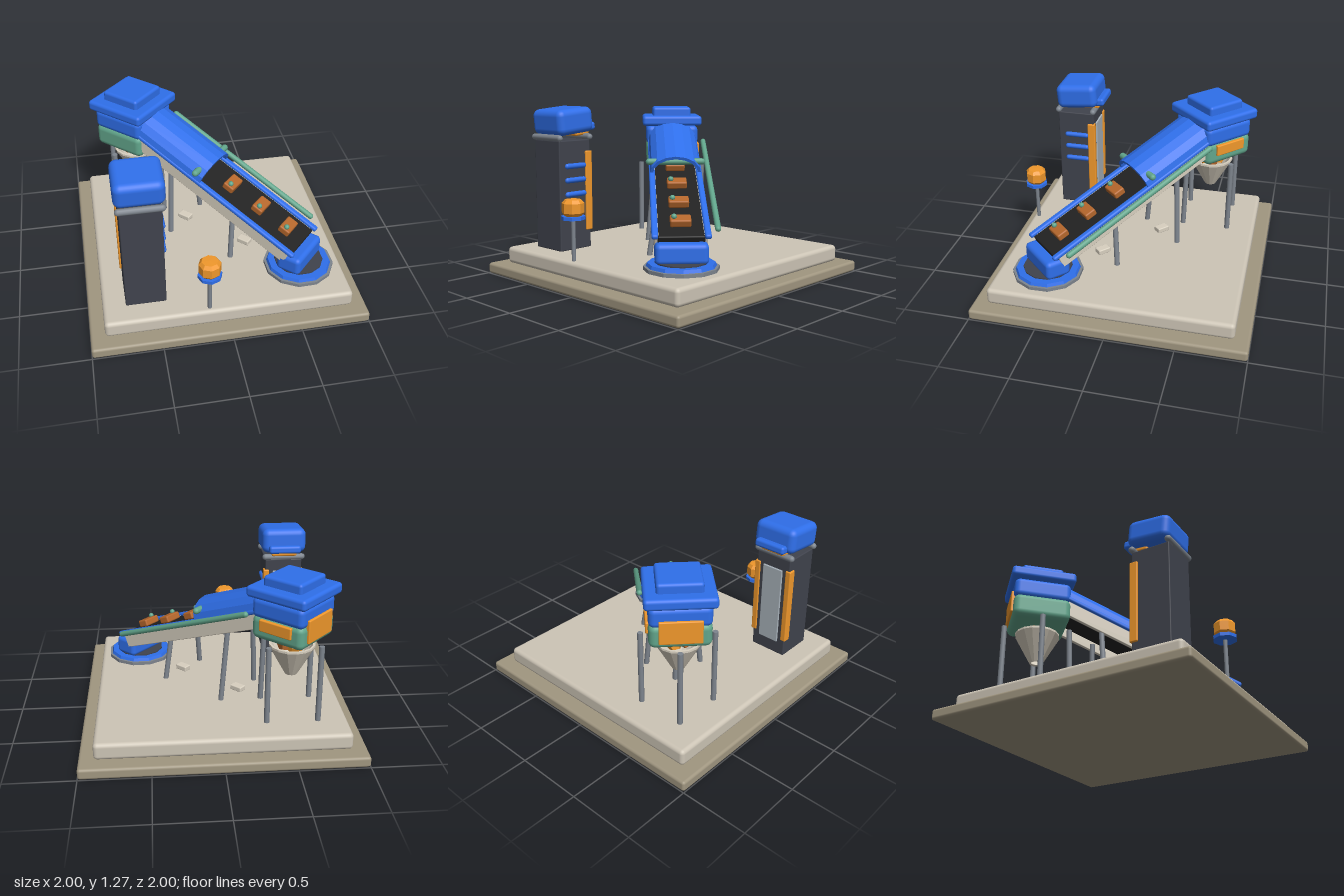
import * as THREE from 'three';
import { RoundedBoxGeometry } from 'three/addons/geometries/RoundedBoxGeometry.js';

const mat = (color, flatShading = false) => new THREE.MeshStandardMaterial({ color, flatShading });
const BLUE = mat(0x2f6fea), BLUE_FLAT = mat(0x2f6fea, true), ORANGE = mat(0xf0982c), ORANGE_FLAT = mat(0xf0982c, true);
const GREEN = mat(0x62a68c), STEEL = mat(0x7e858e), STEEL_FLAT = mat(0x7e858e, true), CREAM = mat(0xd8d0c0);
const TAUPE = mat(0xa09680), STONE = mat(0xcdc5b6), DARK = mat(0x40434d), BELT = mat(0x222222);
const BROWN = mat(0xb5672c), BROWN_FLAT = mat(0xb5672c, true), SCREEN = mat(0xaab4bc);

function add(parent, name, geometry, material, x = 0, y = 0, z = 0) {
  const mesh = new THREE.Mesh(geometry, material);
  mesh.name = name;
  mesh.position.set(x, y, z);
  parent.add(mesh);
  return mesh;
}

function box(parent, name, material, size, pos, radius = 0.015) {
  return add(parent, name, new RoundedBoxGeometry(...size, 3, radius), material, ...pos);
}

// Round bar between two points
function rod(parent, name, material, a, b, radius, sides = 10) {
  const from = new THREE.Vector3(...a), to = new THREE.Vector3(...b);
  const dir = to.clone().sub(from);
  const mesh = add(parent, name, new THREE.CylinderGeometry(radius, radius, dir.length(), sides), material);
  mesh.position.copy(from).add(to).multiplyScalar(0.5);
  mesh.quaternion.setFromUnitVectors(new THREE.Vector3(0, 1, 0), dir.normalize());
  return mesh;
}

// Bar with rounded ends
function pill(parent, name, material, a, b, radius) {
  const mesh = rod(parent, name, material, a, b, radius);
  const length = mesh.geometry.parameters.height;
  mesh.geometry = new THREE.CapsuleGeometry(radius, length - 2 * radius, 4, 10);
  return mesh;
}

function group(parent, name, x = 0, y = 0, z = 0) {
  const g = new THREE.Group();
  g.name = name;
  g.position.set(x, y, z);
  parent.add(g);
  return g;
}

function buildBelt(parent) {
  const slope = group(parent, 'slopingBelt', 0, 1.05, 0);
  slope.rotation.z = -THREE.MathUtils.degToRad(22);
  const start = 0.13, end = 1.64, mid = (start + end) / 2, length = end - start;
  box(slope, 'belt', BELT, [length, 0.05, 0.32], [mid, -0.025, 0], 0.01);
  for (const side of [-1, 1]) {
    box(slope, 'sidePanel', CREAM, [length - 0.02, 0.12, 0.03], [mid - 0.01, -0.06, side * 0.165], 0.006);
    box(slope, 'sideRail', BLUE, [length + 0.02, 0.035, 0.045], [mid + 0.01, 0.005, side * 0.178], 0.015);
  }
  pill(slope, 'handrail', GREEN, [0.22, 0.01, -0.25], [1.58, 0.01, -0.25], 0.021);

  // Parcels with a round knob
  for (const u of [0.7, 0.968, 1.236, 1.487]) {
    box(slope, 'parcel', BROWN, [0.09, 0.055, 0.145], [u, 0.03, 0], 0.012);
    add(slope, 'parcelKnob', new THREE.SphereGeometry(0.02, 10, 8), GREEN, u, 0.065, 0.045);
  }

  // Faceted arched cover, an elliptical half ring drawn out along the slope
  const arch = new THREE.Shape();
  const facets = 8;
  const ring = (w, h, reverse) => {
    for (let i = 0; i <= facets; i++) {
      const a = Math.PI * (reverse ? facets - i : i) / facets;
      const x = Math.cos(a) * w, y = Math.sin(a) * h;
      if (i === 0 && !reverse) arch.moveTo(x, y); else arch.lineTo(x, y);
    }
  };
  ring(0.195, 0.145, false);
  ring(0.172, 0.122, true);
  const cover = new THREE.ExtrudeGeometry(arch, { depth: 0.64, bevelEnabled: false });
  cover.rotateY(Math.PI / 2);
  add(slope, 'archedCover', cover, BLUE_FLAT, 0.15, 0.01, 0);
}

function buildHead(parent) {
  const head = group(parent, 'headHousing');
  box(head, 'upperLid', BLUE, [0.31, 0.09, 0.31], [0, 1.198, 0], 0.022);
  box(head, 'lid', BLUE, [0.48, 0.08, 0.48], [0, 1.135, 0], 0.025);
  box(head, 'housing', BLUE, [0.42, 0.15, 0.42], [0, 1.02, 0], 0.04);
  box(head, 'lowerBin', GREEN, [0.42, 0.175, 0.42], [0, 0.877, 0], 0.045);
  box(head, 'backPanel', ORANGE, [0.03, 0.17, 0.29], [-0.212, 0.92, 0], 0.008);
  box(head, 'sidePanel', ORANGE, [0.26, 0.085, 0.03], [0, 0.907, -0.212], 0.008);

  // Hopper with rubble heaped in it
  const profile = [[0.045, 0.5], [0.165, 0.72], [0.165, 0.735], [0.148, 0.735], [0.035, 0.51], [0.045, 0.5]];
  const hopper = new THREE.LatheGeometry(profile.map(p => new THREE.Vector2(...p)), 16);
  const cone = add(head, 'hopper', hopper, mat(0xd8d0c0, true));
  cone.material.side = THREE.DoubleSide;
  for (let i = 0; i < 4; i++) {
    const a = i * Math.PI / 2 + 0.6;
    const rock = add(head, 'rubble', new THREE.DodecahedronGeometry(0.055), i % 2 ? BROWN_FLAT : ORANGE_FLAT,
      Math.cos(a) * 0.055, 0.725 + 0.01 * (i % 2), Math.sin(a) * 0.055);
    rock.rotation.set(i, i * 2, 0);
  }
}

function buildFoot(parent) {
  const foot = group(parent, 'footStation', 1.495, 0, 0);
  add(foot, 'footRing', new THREE.CylinderGeometry(0.258, 0.258, 0.025, 12), STEEL_FLAT, 0, 0.225, 0);
  add(foot, 'footDisc', new THREE.CylinderGeometry(0.23, 0.24, 0.025, 12), BLUE_FLAT, 0, 0.248, 0);
  add(foot, 'footPad', new THREE.CylinderGeometry(0.18, 0.18, 0.012, 12), DARK, 0, 0.262, 0);
  box(foot, 'footHousing', BLUE, [0.19, 0.145, 0.36], [0, 0.327, 0], 0.035);
}

function buildTower(parent) {
  const tower = group(parent, 'controlTower', -0.585, 0, 0.59);
  box(tower, 'cabinet', DARK, [0.29, 0.82, 0.29], [0, 0.615, 0], 0.008);
  box(tower, 'screen', SCREEN, [0.17, 0.62, 0.02], [0, 0.62, -0.146], 0.006);
  for (const side of [-1, 1]) {
    box(tower, 'lightStrip', ORANGE, [0.045, 0.6, 0.06], [side * 0.136, 0.64, -0.125], 0.008);
    pill(tower, 'topBar', STEEL, [-0.17, 1.045, side * 0.14], [0.17, 1.045, side * 0.14], 0.024);
  }
  for (const y of [0.625, 0.73, 0.835])
    pill(tower, 'sideSlot', BLUE, [0.145, y, 0.095], [0.145, y, -0.1], 0.021);

  // Tilted cap with a visor and lamp on its rear face
  const cap = group(tower, 'cap', 0, 1.165, -0.01);
  cap.rotation.x = 0.09;
  box(cap, 'capBody', BLUE, [0.345, 0.19, 0.325], [0, 0, 0], 0.05);
  box(cap, 'visor', BLUE, [0.25, 0.06, 0.09], [0, -0.06, -0.165], 0.02);
  box(cap, 'lamp', ORANGE, [0.2, 0.04, 0.13], [0, -0.1, -0.095], 0.014);
}

function buildBeacon(parent) {
  const beacon = group(parent, 'beacon', -0.15, 0, 0.85);
  rod(beacon, 'beaconPole', STEEL, [0, 0.19, 0], [0, 0.51, 0], 0.015);
  add(beacon, 'beaconDish', new THREE.CylinderGeometry(0.086, 0.086, 0.025, 8), BLUE_FLAT, 0, 0.515, 0);
  const profile = [[0, 0.527], [0.06, 0.527], [0.079, 0.55], [0.079, 0.618], [0.058, 0.643], [0, 0.645]];
  add(beacon, 'beaconLight', new THREE.LatheGeometry(profile.map(p => new THREE.Vector2(...p)), 8), ORANGE_FLAT);
}

export function createModel() {
  const model = new THREE.Group();
  model.name = 'conveyorStation';
  box(model, 'base', TAUPE, [2, 0.08, 2], [0, 0.04, 0], 0.02);
  box(model, 'platform', STONE, [1.79, 0.125, 1.79], [0, 0.1425, 0], 0.03);

  // Diagonal conveyor: local +x runs from the head down to the foot
  const conveyor = group(model, 'conveyor', -0.505, 0, -0.505);
  conveyor.rotation.y = -THREE.MathUtils.degToRad(43.5);
  buildHead(conveyor);
  buildBelt(conveyor);
  buildFoot(conveyor);
  pill(conveyor, 'crossBar', GREEN, [0.71, 0.853, -0.225], [0.71, 0.853, 0.225], 0.025);
  for (const s of [0.474, 1.025]) {
    box(conveyor, 'footPlate', CREAM, [0.1, 0.04, 0.065], [s, 0.222, 0], 0.008);
    for (const side of [-1, 1])
      rod(conveyor, 'beltLeg', STEEL, [s, 0.2, side * 0.205], [s - 0.02, 0.98 - 0.404 * s, side * 0.15], 0.02);
  }

  // Four posts around the hopper
  for (const x of [-0.68, -0.315])
    for (const z of [-0.68, -0.325]) {
      const lean = z > -0.5 && x > -0.5 ? 0.015 : 0;
      rod(model, 'headPost', STEEL, [x, 0.2, z], [x - lean, 0.78 + lean * 2, z - lean], 0.02);
    }

  buildTower(model);
  buildBeacon(model);
  return model;
}
